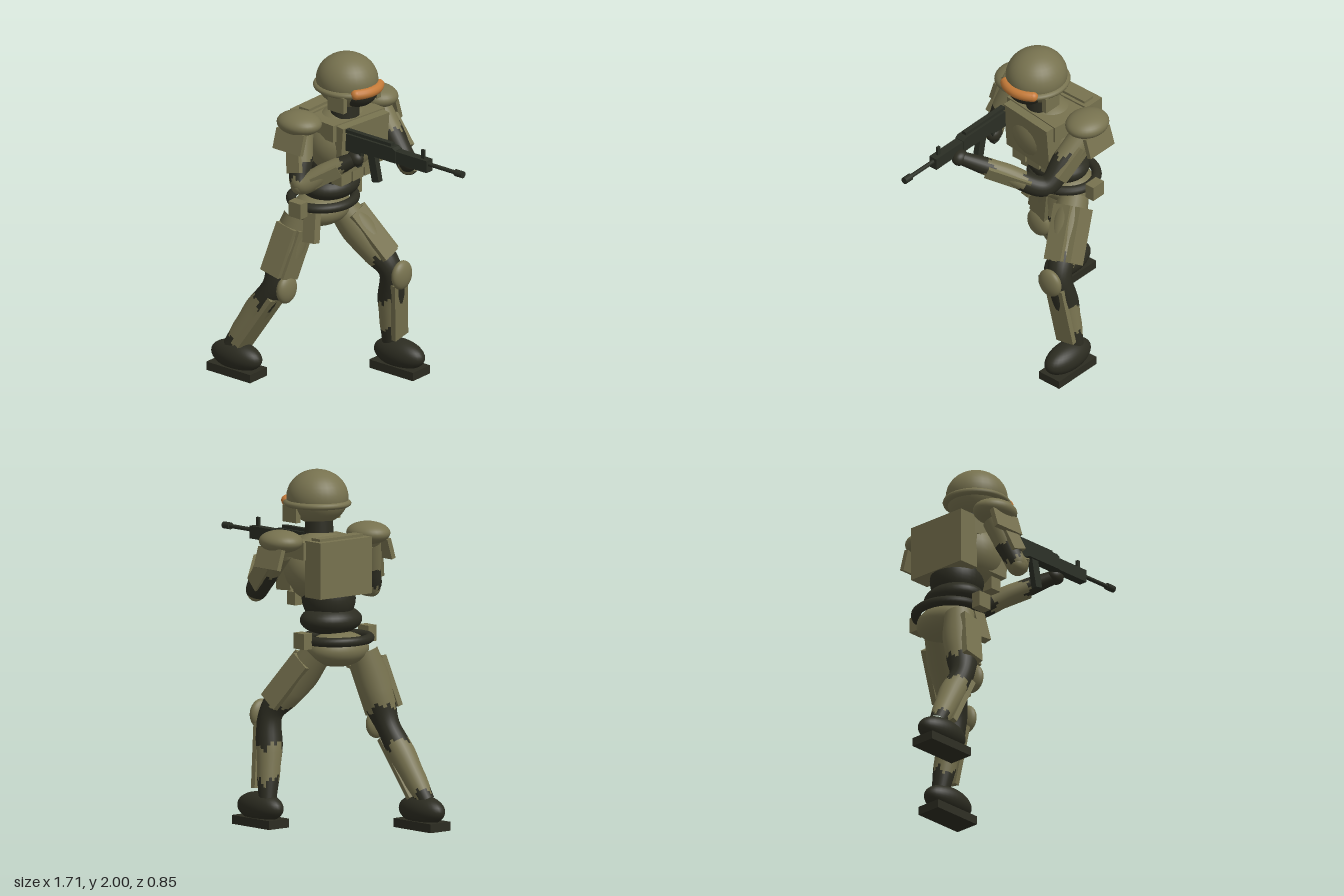
import * as THREE from 'three';

const mat = (name, color) => Object.assign(new THREE.MeshStandardMaterial({ color }), { name });
const V = (p) => new THREE.Vector3(...p);

export function createModel() {
  const olive = mat('olive armour', 0x77724f);
  const dark = mat('dark cloth', 0x2c2c21);
  const metal = mat('gun metal', 0x2a2e24);
  const orange = mat('orange visor', 0xc47a38);
  const model = new THREE.Group();
  model.name = 'armouredSoldier';

  const add = (name, geo, m, pos = [0, 0, 0], rot = [0, 0, 0]) => {
    const mesh = new THREE.Mesh(geo, m);
    mesh.name = name;
    mesh.position.set(...pos);
    mesh.rotation.set(...rot);
    model.add(mesh);
    return mesh;
  };
  const box = (name, size, pos, m, rot) => add(name, new THREE.BoxGeometry(...size), m, pos, rot);
  const ball = (name, radii, pos, m, rot) =>
    add(name, new THREE.SphereGeometry(1, 32, 20).scale(...radii), m, pos, rot);

  // Box laid along a segment, pushed outward and facing that way
  const plate = (name, from, to, out, push, width, thick, m = olive) => {
    const a = V(from), b = V(to);
    const y = b.clone().sub(a), len = y.length();
    y.normalize();
    const z = V(out);
    z.addScaledVector(y, -z.dot(y)).normalize();
    const x = new THREE.Vector3().crossVectors(y, z);
    const mesh = box(name, [width, len, thick], [0, 0, 0], m);
    mesh.position.copy(a.add(b).multiplyScalar(0.5).addScaledVector(z, push));
    mesh.quaternion.setFromRotationMatrix(new THREE.Matrix4().makeBasis(x, y, z));
    return mesh;
  };

  // Tapered tube with ragged dark bands; bands are [start, end] along its length
  const limb = (name, points, radii, bands) => {
    const n = 48, m = 24;
    const curve = new THREE.CatmullRomCurve3(points.map(V));
    const geo = new THREE.TubeGeometry(curve, n, 1, m);
    const pos = geo.attributes.position, v = new THREE.Vector3();
    for (let i = 0; i <= n; i++) {
      const c = curve.getPointAt(i / n);
      const f = (i / n) * (radii.length - 1), k = Math.min(Math.floor(f), radii.length - 2);
      const r = THREE.MathUtils.lerp(radii[k], radii[k + 1], THREE.MathUtils.smoothstep(f - k, 0, 1));
      for (let j = 0; j <= m; j++) {
        const id = i * (m + 1) + j;
        v.fromBufferAttribute(pos, id).sub(c).multiplyScalar(r).add(c);
        pos.setXYZ(id, v.x, v.y, v.z);
      }
    }
    const old = geo.index.array, sorted = [[], []];
    for (let q = 0; q < n * m; q++) {
      const a = ((q % m) / m) * Math.PI * 2;
      const t = Math.floor(q / m) / n + 0.022 * Math.sin(3 * a + 1) + 0.018 * Math.sin(7 * a);
      const isDark = bands.some(([s, e]) => t >= s && t < e) ? 1 : 0;
      for (let k = 0; k < 6; k++) sorted[isDark].push(old[q * 6 + k]);
    }
    geo.setIndex([...sorted[0], ...sorted[1]]);
    geo.clearGroups();
    geo.addGroup(0, sorted[0].length, 0);
    geo.addGroup(sorted[0].length, sorted[1].length, 1);
    return add(name, geo, [olive, dark]);
  };

  // Helmet and head
  ball('helmetDome', [0.18, 0.155, 0.17], [-0.11, 1.845, 0.01], olive);
  add('helmetBrim', new THREE.TorusGeometry(0.17, 0.03, 12, 48).rotateX(Math.PI / 2).scale(1, 0.65, 0.93),
    olive, [-0.108, 1.81, 0.01]);
  ball('headBack', [0.135, 0.1, 0.14], [-0.13, 1.81, 0.01], olive);
  ball('faceMask', [0.115, 0.1, 0.12], [-0.035, 1.805, 0.01], dark);
  for (const s of [1, -1]) box('earGuard', [0.115, 0.095, 0.032], [-0.06, 1.757, 0.01 + s * 0.15], olive);
  const arc = 1.35;
  add('visor', new THREE.TorusGeometry(0.163, 0.03, 14, 32, arc).rotateX(Math.PI / 2).rotateY(arc / 2),
    orange, [-0.09, 1.818, 0.01]);
  for (const s of [1, -1])
    ball('visorEnd', [0.03, 0.03, 0.03],
      [-0.09 + 0.163 * Math.cos(arc / 2), 1.818, 0.01 + s * 0.163 * Math.sin(arc / 2)], orange);
  add('neck', new THREE.CylinderGeometry(0.075, 0.085, 0.16, 24), dark, [-0.135, 1.68, 0]);

  // Torso
  ball('chest', [0.19, 0.2, 0.22], [-0.17, 1.46, -0.02], olive);
  box('chestPlate', [0.14, 0.29, 0.36], [-0.07, 1.475, -0.02], olive, [0, -0.12, -0.08]);
  box('collarPlate', [0.26, 0.1, 0.4], [-0.17, 1.575, -0.025], olive, [0, -0.12, 0]);
  box('backpack', [0.13, 0.32, 0.385], [-0.335, 1.475, -0.03], olive);
  box('backpackLid', [0.07, 0.04, 0.32], [-0.325, 1.63, -0.03], olive);
  for (let i = -1; i <= 1; i++) box('chestPouch', [0.07, 0.075, 0.09], [-0.085, 1.283, -0.015 + i * 0.105], olive);
  ball('upperWaist', [0.155, 0.15, 0.15], [-0.24, 1.29, -0.02], dark);
  ball('lowerWaist', [0.158, 0.085, 0.187], [-0.26, 1.17, -0.02], dark);
  add('belt', new THREE.TorusGeometry(0.175, 0.027, 12, 48).rotateX(Math.PI / 2).scale(1, 1, 1.08),
    dark, [-0.31, 1.07, -0.02]);
  ball('pelvis', [0.15, 0.1, 0.19], [-0.32, 1.01, -0.02], olive);
  for (const s of [1, -1]) box('beltPouch', [0.09, 0.09, 0.06], [-0.295, 1.075, -0.02 + s * 0.24], olive);
  box('holster', [0.085, 0.17, 0.05], [-0.245, 0.955, 0.16], olive, [-0.2, 0, 0.1]);

  // Legs
  const leg = (side, hip, knee, ankle, footX, bands) => {
    const s = side === 'left' ? -1 : 1;
    const mix = (a, b, t) => a.map((c, i) => c + (b[i] - c) * t);
    limb(side + 'Leg', [hip, mix(hip, knee, 0.55), knee, mix(knee, ankle, 0.45), ankle],
      [0.085, 0.1, 0.088, 0.068, 0.076, 0.066, 0.052], bands);
    const t0 = mix(hip, knee, 0.15), t1 = mix(hip, knee, 0.84);
    plate(side + 'ThighSidePlate', t0, t1, [0, 0, s], 0.082, 0.13, 0.035);
    plate(side + 'ThighFrontPlate', t0, t1, [1, 0.3, 0], 0.078, 0.12, 0.03);
    ball(side + 'KneePad', [0.04, 0.085, 0.078], [knee[0] + 0.082, knee[1] - 0.01, knee[2]], olive);
    plate(side + 'ShinPlate', mix(knee, ankle, 0.12), mix(knee, ankle, 0.88), [1, 0.3, 0], 0.06, 0.12, 0.03);
    const z = ankle[2];
    ball(side + 'Boot', [0.172, 0.085, 0.086], [footX, 0.108, z], dark);
    box(side + 'Sole', [0.316, 0.05, 0.15], [footX, 0.025, z], dark);
  };
  // The model faces +x in stance, so its trailing leg lies on +z
  leg('right', [-0.37, 0.99, 0.12], [-0.455, 0.58, 0.225], [-0.72, 0.16, 0.285], -0.685, [[0.34, 0.6], [0.93, 1.1]]);
  leg('left', [-0.27, 0.99, -0.13], [-0.01, 0.63, -0.25], [-0.06, 0.16, -0.318], 0, [[0.38, 0.68], [0.88, 1.1]]);

  // Arms: shoulder, elbow, hand
  const arm = (side, shoulder, elbow, hand, padX, bands) => {
    const s = side === 'left' ? -1 : 1;
    const mix = (a, b, t) => a.map((c, i) => c + (b[i] - c) * t);
    limb(side + 'Arm', [shoulder, mix(shoulder, elbow, 0.55), elbow, mix(elbow, hand, 0.5), hand],
      [0.075, 0.07, 0.06, 0.058, 0.052, 0.04], bands);
    ball(side + 'ShoulderPad', [0.135, 0.064, 0.115], [padX, 1.63, shoulder[2]], olive);
    box(side + 'ShoulderFlap', [0.2, 0.12, 0.028], [padX, 1.54, shoulder[2] + s * 0.085], olive, [-s * 0.3, 0, 0]);
    plate(side + 'UpperArmPlate', mix(shoulder, elbow, 0.25), mix(shoulder, elbow, 0.8), [0, 0, s], 0.055, 0.095, 0.03);
    ball(side + 'ElbowPad', [0.052, 0.052, 0.048], [elbow[0] - 0.005, elbow[1] - 0.01, elbow[2] + s * 0.01], olive);
    plate(side + 'ForearmPlate', mix(elbow, hand, 0.18), mix(elbow, hand, 0.68), [0.5, -0.4, s], 0.045, 0.075, 0.025);
    ball(side + 'Hand', [0.052, 0.045, 0.042], hand, dark);
  };
  arm('right', [-0.235, 1.58, 0.275], [-0.155, 1.31, 0.36], [0.075, 1.46, 0.165], -0.24, [[0.25, 0.42], [0.86, 1.1]]);
  arm('left', [-0.165, 1.58, -0.315], [0.11, 1.315, -0.25], [0.42, 1.505, 0.115], -0.17, [[0.2, 0.56], [0.8, 1.1]]);

  // Rifle pointing along +x
  const gz = 0.155;
  const outline = new THREE.Shape([[0.02, 1.5], [0.1, 1.5], [0.14, 1.515], [0.38, 1.515], [0.38, 1.59], [0.36, 1.602],
    [0.025, 1.602]].map((p) => new THREE.Vector2(...p)));
  add('rifleBody', new THREE.ExtrudeGeometry(outline, { depth: 0.06, bevelEnabled: false }), metal, [0, 0, gz - 0.03]);
  box('rifleRail', [0.33, 0.02, 0.03], [0.175, 1.61, gz], metal);
  box('handguard', [0.23, 0.072, 0.052], [0.49, 1.55, gz], metal);
  const rod = (name, r, x0, x1) =>
    add(name, new THREE.CylinderGeometry(r, r, x1 - x0, 16).rotateZ(Math.PI / 2), metal, [(x0 + x1) / 2, 1.56, gz]);
  rod('barrel', 0.012, 0.6, 0.82);
  rod('muzzle', 0.02, 0.795, 0.85);
  box('frontSight', [0.02, 0.055, 0.015], [0.56, 1.61, gz], metal);
  box('magazine', [0.05, 0.17, 0.035], [0.21, 1.44, gz], metal, [0, 0, 0.2]);
  box('pistolGrip', [0.045, 0.1, 0.035], [0.09, 1.465, gz], metal, [0, 0, -0.2]);
  return model;
}
